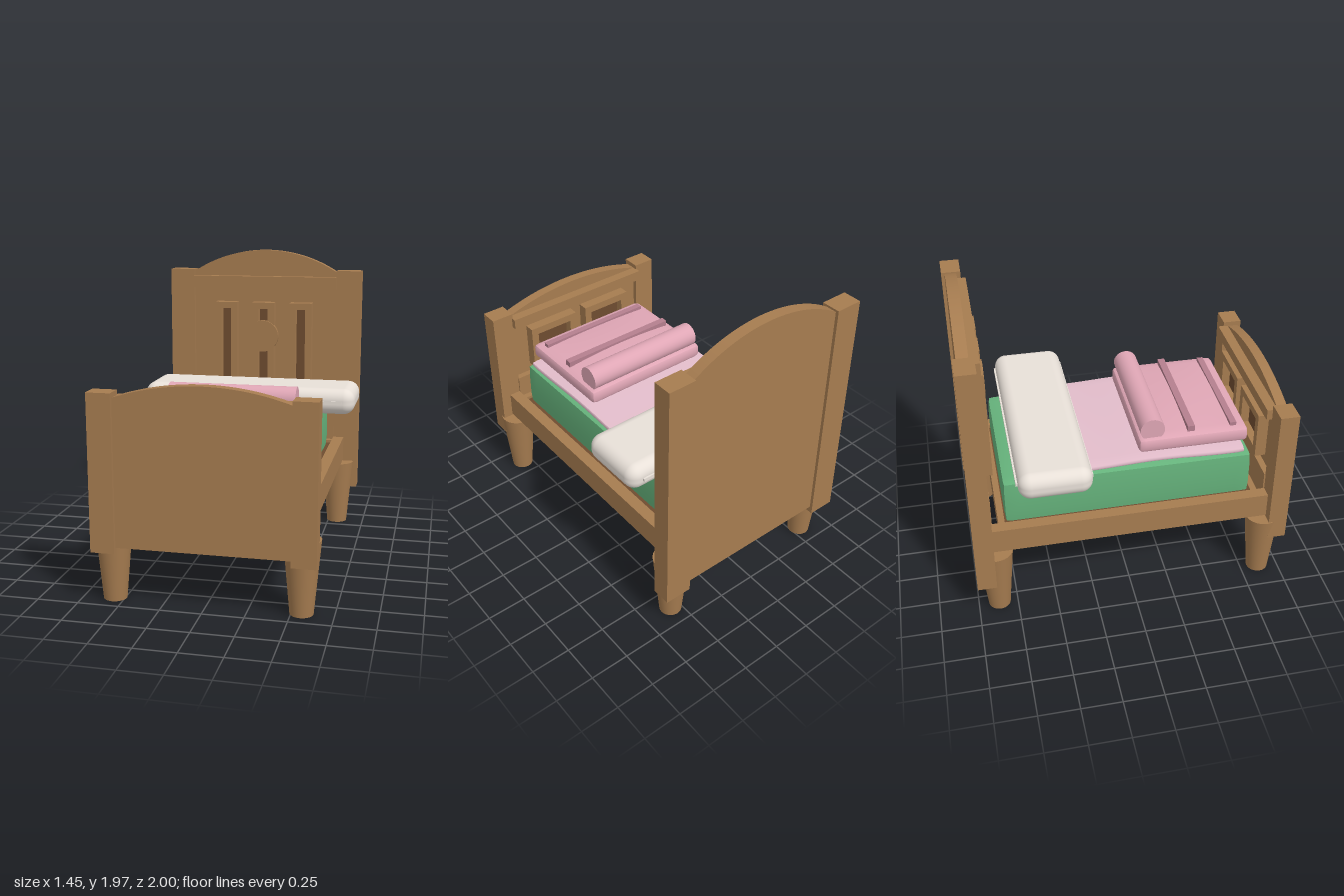
import * as THREE from 'three';
import { RoundedBoxGeometry } from 'three/addons/geometries/RoundedBoxGeometry.js';

const mat = (color) => new THREE.MeshStandardMaterial({ color });

export function createModel() {
  const bed = new THREE.Group();
  bed.name = 'bed';
  const wood = mat(0xa67c50), darkWood = mat(0x6e4c30), green = mat(0x66b37c);
  const pink = mat(0xdfa6b5), palePink = mat(0xe3bdcb), rose = mat(0xb57f8e), cream = mat(0xe8e0d8);

  const add = (name, geometry, material, x = 0, y = 0, z = 0) => {
    const mesh = new THREE.Mesh(geometry, material);
    mesh.name = name;
    mesh.position.set(x, y, z);
    bed.add(mesh);
    return mesh;
  };
  // box given by its limits on each axis
  const box = (name, material, [x0, x1], [y0, y1], [z0, z1]) =>
    add(name, new THREE.BoxGeometry(x1 - x0, y1 - y0, z1 - z0), material,
      (x0 + x1) / 2, (y0 + y1) / 2, (z0 + z1) / 2);
  // board with an arched top edge
  const archedPanel = (name, half, bottom, shoulder, peak, z0, z1) => {
    const shape = new THREE.Shape();
    shape.moveTo(-half, bottom);
    shape.lineTo(half, bottom);
    shape.lineTo(half, shoulder);
    const h = peak - shoulder, r = (half * half + h * h) / (2 * h), a = Math.asin(half / r);
    shape.absarc(0, peak - r, r, Math.PI / 2 - a, Math.PI / 2 + a, false);
    shape.closePath();
    add(name, new THREE.ExtrudeGeometry(shape, { depth: z1 - z0, bevelEnabled: false, curveSegments: 32 }),
      wood, 0, 0, z0);
  };
  // rectangular moulding with an opening and a dark inset
  const frame = (name, cx, w, y0, y1, border, z0, z1, insetZ) => {
    const rect = (Type, b) => {
      const p = new Type();
      p.moveTo(-w / 2 + b, y0 + b);
      p.lineTo(w / 2 - b, y0 + b);
      p.lineTo(w / 2 - b, y1 - b);
      p.lineTo(-w / 2 + b, y1 - b);
      p.closePath();
      return p;
    };
    const shape = rect(THREE.Shape, 0);
    shape.holes.push(rect(THREE.Path, border));
    add(name, new THREE.ExtrudeGeometry(shape, { depth: z1 - z0, bevelEnabled: false }), wood, cx, 0, z0);
    box(name + 'Inset', darkWood, [cx - w / 2 + border, cx + w / 2 - border],
      [y0 + border, y1 - border], insetZ);
  };
  // rounded cushion whose vertices follow a height rule
  const cushion = (name, material, [x0, x1], [y0, y1], [z0, z1], radius, lift) => {
    const w = x1 - x0, h = y1 - y0, d = z1 - z0;
    const g = new RoundedBoxGeometry(w, h, d, 12, radius);
    // spread the vertices of the flat faces so that they can bend
    const slab = new THREE.BoxGeometry(w, h, d, 24, 4, 32), p = slab.attributes.position;
    if (!lift) return add(name, g, material, (x0 + x1) / 2, (y0 + y1) / 2, (z0 + z1) / 2);
    const core = new THREE.Vector3(), v = new THREE.Vector3();
    for (let i = 0; i < p.count; i++) {
      v.fromBufferAttribute(p, i);
      core.set(
        THREE.MathUtils.clamp(v.x, -w / 2 + radius, w / 2 - radius),
        THREE.MathUtils.clamp(v.y, -h / 2 + radius, h / 2 - radius),
        THREE.MathUtils.clamp(v.z, -d / 2 + radius, d / 2 - radius));
      v.sub(core).setLength(radius).add(core);
      v.y += lift(2 * v.x / w, v.y / h + 0.5, 2 * v.z / d);
      p.setXYZ(i, v.x, v.y, v.z);
    }
    slab.computeVertexNormals();
    return add(name, slab, material, (x0 + x1) / 2, (y0 + y1) / 2, (z0 + z1) / 2);
  };

  // headboard
  archedPanel('headboardPanel', 0.53, 0.3, 1.81, 1.97, -0.98, -0.91);
  box('headboardTopRail', wood, [-0.52, 0.52], [1.7, 1.785], [-0.92, -0.85]);
  box('headboardLowerRail', wood, [-0.52, 0.52], [0.46, 0.8], [-0.92, -0.87]);
  for (const x of [-0.272, 0, 0.272]) {
    frame('headboardFrame', x, 0.16, 0.87, 1.6, 0.045, -0.92, -0.83, [-0.92, -0.895]);
  }
  add('headboardMedallion', new THREE.CylinderGeometry(0.113, 0.113, 0.03, 32), wood, 0, 1.36, -0.833)
    .rotation.x = Math.PI / 2;

  // footboard
  archedPanel('footboardPanel', 0.53, 0.35, 1.23, 1.32, 0.91, 0.975);
  box('footboardTopRail', wood, [-0.52, 0.52], [1.165, 1.235], [0.845, 0.92]);
  box('footboardLowerRail', wood, [-0.52, 0.52], [0.46, 0.74], [0.87, 0.92]);
  for (const x of [-0.22, 0.22]) {
    frame('footboardFrame', x, 0.36, 0.8, 1.11, 0.05, 0.84, 0.92, [0.895, 0.92]);
  }

  // posts, side rails and tapered legs
  for (const s of [-1, 1]) {
    const span = (a, b) => (s > 0 ? [a, b] : [-b, -a]);
    box('headPost', wood, span(0.52, 0.695), [0.255, 1.83], [-1, -0.88]);
    box('footPost', wood, span(0.515, 0.66), [0.32, 1.265], [0.88, 1]);
    box('sideRail', wood, span(0.52, 0.595), [0.46, 0.625], [-0.89, 0.89]);
    for (const z of [-0.867, 0.867]) {
      const profile = [[0, 0], [0.07, 0], [0.07, 0], [0.111, 0.45], [0.111, 0.45], [0, 0.45]]
        .map(([r, y]) => new THREE.Vector2(r, y));
      add('leg', new THREE.LatheGeometry(profile, 28), wood, s * 0.56, 0, z);
    }
  }
  // end rails and base board
  box('headEndRail', wood, [-0.53, 0.53], [0.46, 0.62], [-0.83, -0.79]);
  box('footEndRail', wood, [-0.53, 0.53], [0.46, 0.62], [0.79, 0.83]);
  box('baseBoard', darkWood, [-0.525, 0.525], [0.53, 0.6], [-0.8, 0.8]);

  // mattress with a gently domed top
  cushion('mattress', green, [-0.49, 0.49], [0.59, 0.89], [-0.785, 0.785], 0.025,
    (x, t, z) => 0.045 * t * (1 - x * x) * (1 - z * z));
  // sheet lying in soft waves
  cushion('sheet', palePink, [-0.48, 0.48], [0.91, 0.945], [-0.6, 0.74], 0.015,
    (x, t, z) => 0.008 * Math.sin(z * 4.5 + 0.8) + 0.008 * (1 - x * x));
  // folded blanket with stitched bands and a roll
  cushion('blanket', pink, [-0.44, 0.44], [0.96, 1.055], [0.07, 0.77], 0.03,
    (x, t, z) => 0.028 * t * (1 - x * x) * (1 - z * z));
  box('blanketBand', rose, [-0.4, 0.4], [1.05, 1.098], [0.385, 0.43]);
  box('blanketBand', rose, [-0.39, 0.39], [1.03, 1.082], [0.66, 0.7]);
  add('blanketRoll', new THREE.CylinderGeometry(0.077, 0.077, 0.82, 32), pink, 0, 1.107, 0.16)
    .rotation.z = Math.PI / 2;

  // pillow with piping along its seams
  cushion('pillow', cream, [-0.723, 0.723], [0.918, 1.09], [-0.705, -0.26], 0.075);
  for (const z of [-0.708, -0.262]) {
    box('pillowPiping', cream, [-0.64, 0.64], [0.992, 1.014], [z - 0.008, z + 0.008]);
  }
  return bed;
}
